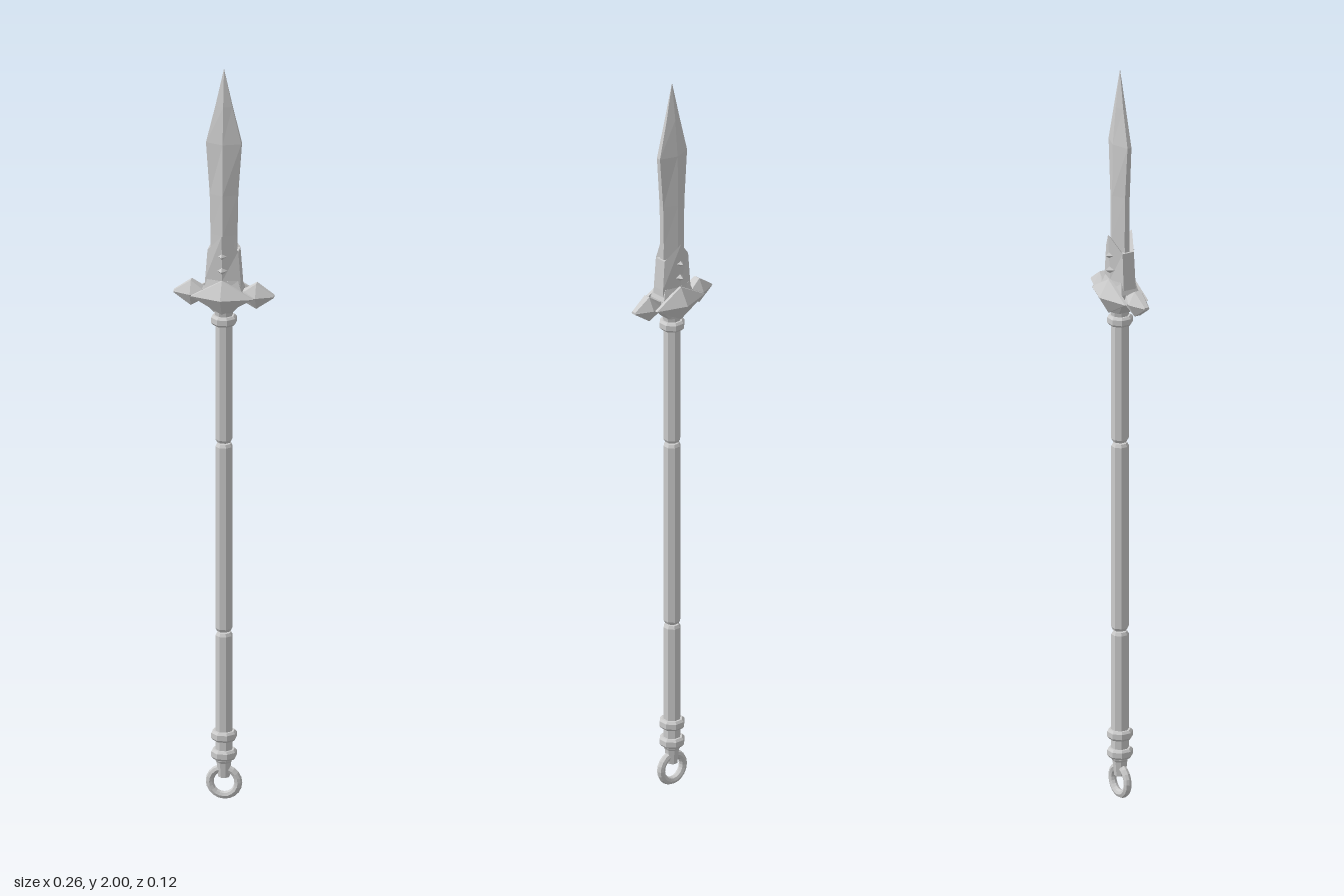
import * as THREE from 'three';

const mat = new THREE.MeshStandardMaterial({ color: 0xcccccc, flatShading: true, side: THREE.DoubleSide });

function add(parent, name, geometry) {
  const mesh = new THREE.Mesh(geometry, mat);
  mesh.name = name;
  parent.add(mesh);
  return mesh;
}

// Loft of six-sided sections: [y, half width, half depth at ridge, half depth at edge, ridge y]
function ridged(rows) {
  const pos = [];
  const rings = rows.map(([y, w, d, e, yr = y]) => [
    [w, y, e], [w, y, -e], [0, yr, -d], [-w, y, -e], [-w, y, e], [0, yr, d],
  ]);
  for (let r = 0; r < rings.length - 1; r++) {
    for (let i = 0; i < 6; i++) {
      const j = (i + 1) % 6;
      const a = rings[r][i], b = rings[r][j], c = rings[r + 1][j], d = rings[r + 1][i];
      pos.push(...a, ...b, ...c, ...a, ...c, ...d);
    }
  }
  const last = rings.length - 1;
  for (let i = 0; i < 6; i++) {
    const j = (i + 1) % 6;
    pos.push(...rings[0][j], ...rings[0][i], 0, rows[0][0], 0);
    pos.push(...rings[last][i], ...rings[last][j], 0, rows[last][0], 0);
  }
  const g = new THREE.BufferGeometry();
  g.setAttribute('position', new THREE.Float32BufferAttribute(pos, 3));
  g.computeVertexNormals();
  return g;
}

// Eight-sided turned part with flats facing the axes
function turned(profile) {
  const k = 1 / Math.cos(Math.PI / 8);
  return new THREE.LatheGeometry(profile.map(([r, y]) => new THREE.Vector2(r * k, y)), 8, Math.PI / 8);
}

export function createModel() {
  const model = new THREE.Group();
  model.name = 'spear';

  // Blade
  add(model, 'blade', ridged([
    [1.38, 0.036, 0.024, 0.007],
    [1.55, 0.034, 0.024, 0.007],
    [1.66, 0.036, 0.024, 0.007],
    [1.8, 0.046, 0.022, 0.006],
    [1.9, 0.022, 0.013, 0.004],
    [2.0, 0.0005, 0.0005, 0.0003],
  ]));

  // Socket around the blade root, peaked on both faces
  add(model, 'socket', ridged([
    [1.39, 0.047, 0.032, 0.02],
    [1.43, 0.046, 0.03, 0.018],
    [1.51, 0.04, 0.036, 0.017, 1.555],
  ]));

  // Guard core and its two pointed face plates
  const guard = new THREE.Group();
  guard.name = 'guard';
  model.add(guard);
  add(guard, 'guardCore', ridged([
    [1.34, 0.024, 0.028, 0.018],
    [1.37, 0.05, 0.034, 0.026],
    [1.4, 0.05, 0.034, 0.026],
    [1.43, 0.04, 0.03, 0.02],
  ]));

  for (const s of [1, -1]) {
    const face = new THREE.Group();
    face.name = s > 0 ? 'frontFace' : 'backFace';
    face.rotation.y = s > 0 ? 0 : Math.PI;
    guard.add(face);

    const plate = new THREE.CylinderGeometry(1, 1, 0.008, 4).rotateX(Math.PI / 2);
    add(face, 'plate', plate.scale(0.081, 0.046, 1).translate(0, 1.386, 0.031));
    const boss = new THREE.ConeGeometry(1, 0.027, 4).rotateX(Math.PI / 2);
    add(face, 'boss', boss.scale(0.081, 0.046, 1).translate(0, 1.386, 0.0485));

    // Studs on the socket ridge
    for (const y of [1.458, 1.498]) {
      const stud = new THREE.ConeGeometry(0.015, 0.02, 4).rotateX(Math.PI / 2);
      add(face, 'stud', stud.translate(0, y, 0.034));
    }

    // Wing, lofted along y and then turned to point sideways
    const wing = add(guard, s > 0 ? 'leftWing' : 'rightWing', ridged([
      [0.035, 0.008, 0.012, 0.008],
      [0.055, 0.014, 0.019, 0.015],
      [0.085, 0.034, 0.027, 0.009],
      [0.13, 0.003, 0.008, 0.006],
    ]));
    wing.rotation.z = -s * Math.PI / 2;
    wing.position.y = 1.386;
  }

  // Shaft in three lengths parted by grooves
  const R = 0.021, r = 0.017;
  for (const [a, b] of [[0.1, 0.458], [0.462, 0.976], [0.98, 1.33]]) {
    add(model, 'shaft', turned([[0, a], [r, a], [R, a + 0.008], [R, b - 0.008], [r, b], [0, b]]));
  }
  add(model, 'neck', turned([[0.02, 1.32], [0.024, 1.345], [0, 1.345]]));

  // Rings on the shaft
  for (const y of [0.125, 0.176, 1.315]) {
    add(model, 'collar', turned([
      [0.018, y - 0.013], [0.026, y - 0.013], [0.031, y - 0.007],
      [0.031, y + 0.007], [0.026, y + 0.013], [0.018, y + 0.013],
    ]));
  }

  // Butt and pommel ring
  const butt = turned([[0, 0.062], [0.014, 0.062], [0.019, 0.112], [0, 0.112]]);
  add(model, 'butt', butt);
  add(model, 'pommelRing', new THREE.TorusGeometry(0.037, 0.0105, 8, 20).translate(0, 0.0475, 0));

  return model;
}
